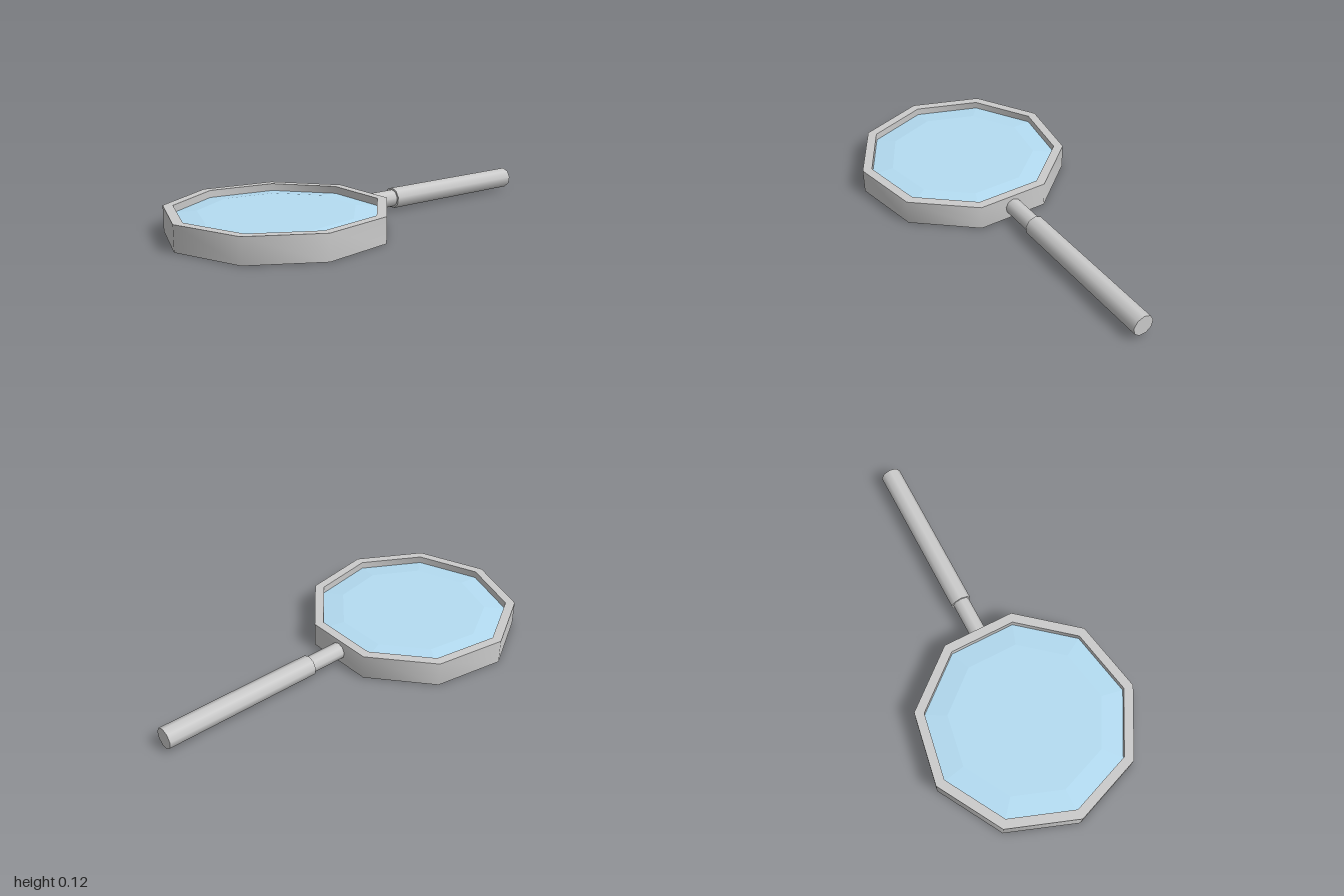
import * as THREE from 'three';
import { toCreasedNormals } from 'three/addons/utils/BufferGeometryUtils.js';

const SIDES = 9;
const CENTER_X = -0.476;
const MID_Y = 0.061;

// Nine-sided revolved solid with a corner pointing to -x
function revolve(profile) {
  const points = profile.map(([r, y]) => new THREE.Vector2(r, y));
  return new THREE.LatheGeometry(points, SIDES, -Math.PI / 2);
}

// Nine-sided rod along x, with a corner on top
function rod(name, radius, x0, x1, material) {
  const geometry = new THREE.CylinderGeometry(radius, radius, x1 - x0, SIDES);
  geometry.rotateY(-Math.PI / 2).rotateZ(-Math.PI / 2);
  const mesh = new THREE.Mesh(geometry, material);
  mesh.name = name;
  mesh.position.set((x0 + x1) / 2, MID_Y, 0);
  return mesh;
}

export function createModel() {
  const group = new THREE.Group();
  group.name = 'magnifyingGlass';
  const grey = new THREE.MeshStandardMaterial({ color: 0xcccccc });
  const glass = new THREE.MeshStandardMaterial({ color: 0xb4dcf2, flatShading: true });

  // Frame around the lens
  const frame = new THREE.Mesh(toCreasedNormals(revolve([
    [0.477, 0], [0.524, 0], [0.524, 0.122], [0.477, 0.122], [0.477, 0],
  ]), 1), grey);
  frame.name = 'frame';
  frame.position.x = CENTER_X;

  // Lens, bevelled towards the edge on both faces
  const lens = new THREE.Mesh(revolve([
    [0, 0.024], [0.37, 0.024], [0.477, 0.035],
    [0.477, 0.087], [0.37, 0.098], [0, 0.098],
  ]), glass);
  lens.name = 'lens';
  lens.position.x = CENTER_X;

  // Handle with its thinner neck
  group.add(
    frame,
    lens,
    rod('neck', 0.042, 0.0, 0.2, grey),
    rod('handle', 0.0515, 0.2, 1, grey),
  );
  return group;
}
